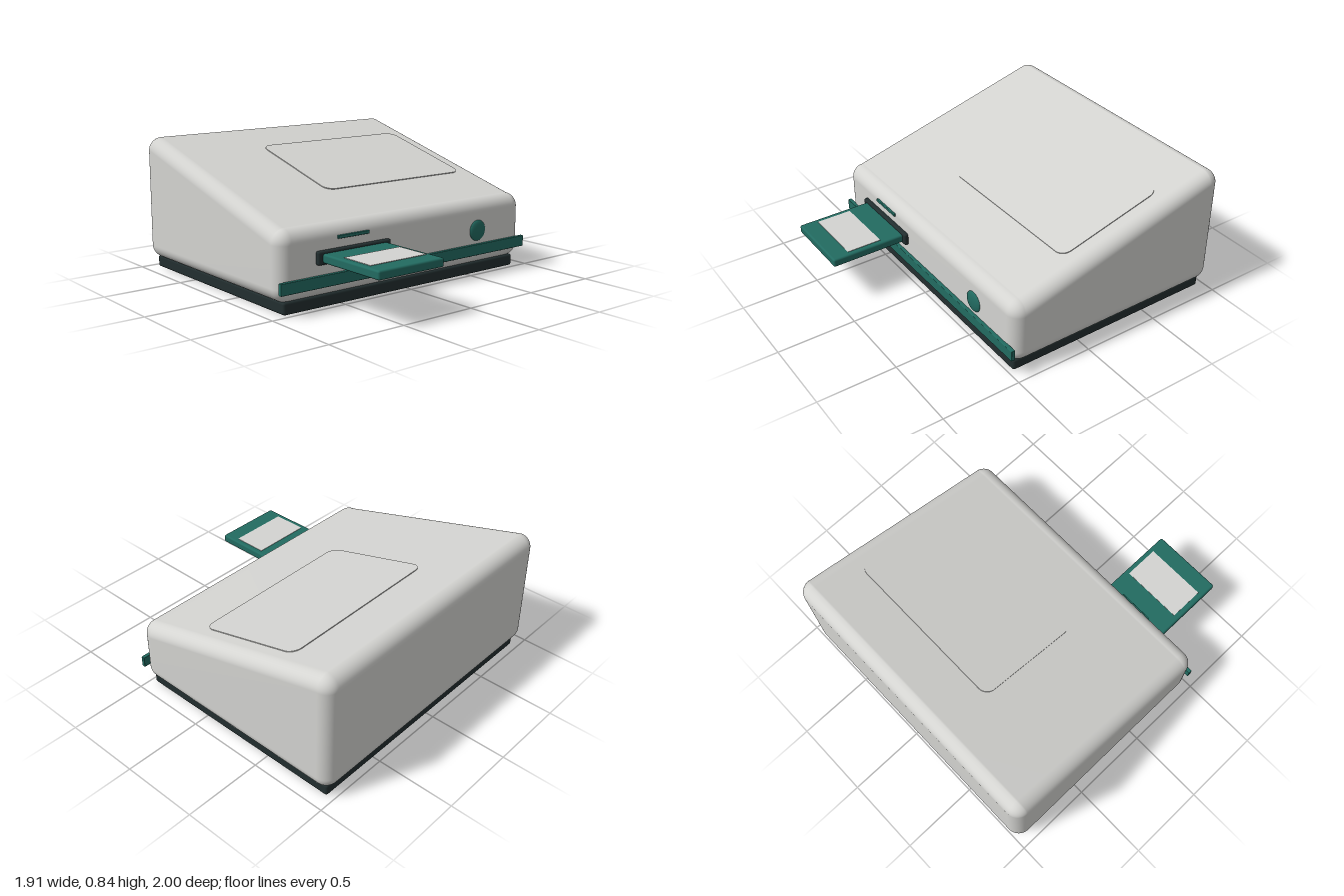
import * as THREE from 'three';
import { RoundedBoxGeometry } from 'three/addons/geometries/RoundedBoxGeometry.js';
import { mergeVertices } from 'three/addons/utils/BufferGeometryUtils.js';

const material = (name, color) => {
  const m = new THREE.MeshStandardMaterial({ color });
  m.name = name;
  return m;
};

export function createModel() {
  const group = new THREE.Group();
  const shell = material('warm grey shell', 0xd4d4d1);
  const teal = material('teal accent', 0x226b61);
  const dark = material('dark base', 0x222e2f);

  const add = (name, geometry, mat, x = 0, y = 0, z = 0) => {
    const mesh = new THREE.Mesh(geometry, mat);
    mesh.name = name;
    mesh.position.set(x, y, z);
    group.add(mesh);
    return mesh;
  };

  // Rounded box given by its limits on each axis
  const block = (name, mat, [x0, x1], [y0, y1], [z0, z1], r, segments = 3) =>
    add(name, new RoundedBoxGeometry(x1 - x0, y1 - y0, z1 - z0, segments, r), mat,
      (x0 + x1) / 2, (y0 + y1) / 2, (z0 + z1) / 2);

  // Wedge housing: a rounded box whose top front edge is lowered
  const top = 0.845, bottom = 0.065, drop = 0.365, radius = 0.085;
  let wedge = new RoundedBoxGeometry(1.9, top - bottom, 1.5, 8, radius);
  const p = wedge.attributes.position;
  for (let i = 0; i < p.count; i++) {
    if (p.getY(i) > 0 && p.getZ(i) > 0) p.setY(i, p.getY(i) - drop);
  }
  wedge.deleteAttribute('normal');
  wedge.deleteAttribute('uv');
  wedge.clearGroups();
  wedge = mergeVertices(wedge, 1e-4);
  wedge.computeVertexNormals();
  add('housing', wedge, shell, 0, (top + bottom) / 2, -0.25);

  // Raised panel lying on the slope
  const slope = drop / (1.5 - 2 * radius);
  const w = 1.11 / 2, h = 0.725 / 2, c = 0.065;
  const outline = new THREE.Shape();
  outline.moveTo(-w + c, -h);
  outline.absarc(w - c, -h + c, c, -Math.PI / 2, 0);
  outline.absarc(w - c, h - c, c, 0, Math.PI / 2);
  outline.absarc(-w + c, h - c, c, Math.PI / 2, Math.PI);
  outline.absarc(-w + c, -h + c, c, Math.PI, Math.PI * 1.5);
  const panel = add('topPanel',
    new THREE.ExtrudeGeometry(outline, { depth: 0.008, bevelEnabled: false, curveSegments: 8 }),
    shell, 0.255, top - slope * (-0.28 + 1 - radius) - 0.003, -0.28);
  panel.rotation.x = -Math.PI / 2 + Math.atan(slope);

  // Base plinth
  block('base', dark, [-0.905, 0.905], [0, 0.075], [-0.955, 0.47], 0.015);

  // Front details
  block('frontStripe', teal, [-0.955, 0.955], [0.13, 0.2], [0.495, 0.52], 0.004);
  block('slotFrame', dark, [-0.705, -0.18], [0.26, 0.34], [0.48, 0.525], 0.012);
  block('indicator', teal, [-0.555, -0.33], [0.39, 0.41], [0.48, 0.51], 0.004);
  const button = add('button', new THREE.SphereGeometry(0.066, 32, 20), teal, 0.55, 0.285, 0.5);
  button.scale.z = 0.25;

  // Disk sticking out of the slot, with its label
  block('disk', teal, [-0.675, -0.21], [0.272, 0.325], [0.4, 1], 0.012);
  add('diskLabel', new THREE.BoxGeometry(0.4, 0.006, 0.225), shell, -0.44, 0.325, 0.777);

  return group;
}
